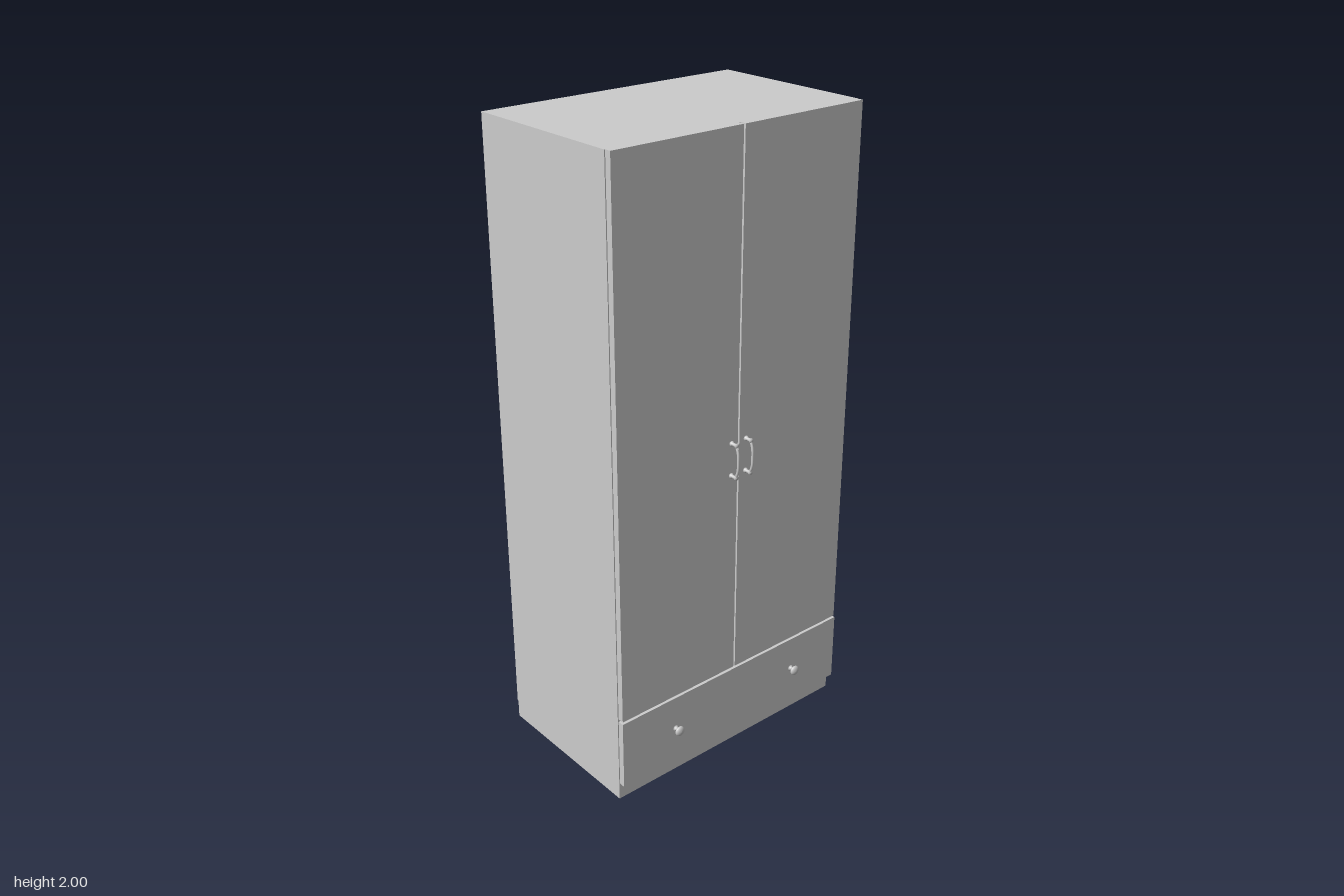
import * as THREE from 'three';

const material = new THREE.MeshStandardMaterial({ color: 0xcccccc, side: THREE.DoubleSide });

// Box given by its minimum and maximum corners
function panel(name, [x0, y0, z0], [x1, y1, z1]) {
  const mesh = new THREE.Mesh(new THREE.BoxGeometry(x1 - x0, y1 - y0, z1 - z0), material);
  mesh.position.set((x0 + x1) / 2, (y0 + y1) / 2, (z0 + z1) / 2);
  mesh.name = name;
  return mesh;
}

// Turned part whose axis points forward, profile as [radius, depth]
function turned(name, profile, x, y, z) {
  const points = profile.map(([r, d]) => new THREE.Vector2(r, d));
  const mesh = new THREE.Mesh(new THREE.LatheGeometry(points, 24), material);
  mesh.rotation.x = Math.PI / 2;
  mesh.position.set(x, y, z);
  mesh.name = name;
  return mesh;
}

const FRONT = 0.265;   // face of doors and drawer
const CARCASS = 0.245; // front edge of the carcass
const BACK = -0.3;
const LEFT = 0.445, RIGHT = -0.45;
const T = 0.016;       // board thickness

// Bow handle: two turned posts joined by a curved grip
function bowHandle(name, x) {
  const handle = new THREE.Group();
  handle.name = name;
  const post = [[0, 0], [0.008, 0], [0.008, 0.004], [0.005, 0.007], [0.005, 0.018],
    [0.007, 0.021], [0.007, 0.026], [0, 0.027]];
  for (const y of [-0.052, 0.052]) handle.add(turned('handlePost', post, 0, y, 0));
  const curve = new THREE.CatmullRomCurve3([
    [-0.052, 0.02], [-0.04, 0.026], [-0.025, 0.03], [0, 0.031], [0.025, 0.03], [0.04, 0.026], [0.052, 0.02],
  ].map(([y, z]) => new THREE.Vector3(0, y, z)));
  const grip = new THREE.Mesh(new THREE.TubeGeometry(curve, 32, 0.004, 12), material);
  grip.name = 'handleGrip';
  handle.add(grip);
  handle.position.set(x, 1.03, FRONT);
  return handle;
}

export function createModel() {
  const wardrobe = new THREE.Group();
  wardrobe.name = 'wardrobe';

  // Carcass
  wardrobe.add(
    panel('leftSide', [LEFT - T, 0, BACK + 0.004], [LEFT, 2, CARCASS]),
    panel('rightSide', [RIGHT, 0, BACK + 0.004], [RIGHT + T, 2, CARCASS]),
    panel('topBoard', [RIGHT + T, 2 - T, BACK + 0.004], [LEFT - T, 2, CARCASS]),
    panel('bottomBoard', [RIGHT + T, 0.06, BACK + 0.004], [LEFT - T, 0.06 + T, CARCASS]),
    panel('drawerDivider', [RIGHT + T, 0.282, BACK + 0.004], [LEFT - T, 0.282 + T, CARCASS]),
    panel('backPanel', [RIGHT, 0.06, BACK], [LEFT, 2, BACK + 0.004]),
    panel('plinth', [RIGHT + T, 0, CARCASS - T], [LEFT - T, 0.06, CARCASS]),
  );

  // Doors and drawer front
  wardrobe.add(
    panel('rightDoor', [-0.447, 0.296, CARCASS], [-0.007, 2, FRONT]),
    panel('leftDoor', [-0.001, 0.296, CARCASS], [0.443, 2, FRONT]),
    panel('drawerFront', [-0.447, 0.056, CARCASS], [0.448, 0.287, FRONT]),
  );

  // Door handles
  wardrobe.add(bowHandle('rightDoorHandle', -0.032), bowHandle('leftDoorHandle', 0.024));

  // Drawer knobs
  const knob = [[0, 0], [0.01, 0], [0.009, 0.003], [0.006, 0.006], [0.006, 0.011], [0.012, 0.014],
    [0.016, 0.018], [0.0165, 0.021], [0.014, 0.025], [0.008, 0.028], [0, 0.029]];
  for (const x of [-0.243, 0.248]) wardrobe.add(turned('drawerKnob', knob, x, 0.175, FRONT));

  return wardrobe;
}
